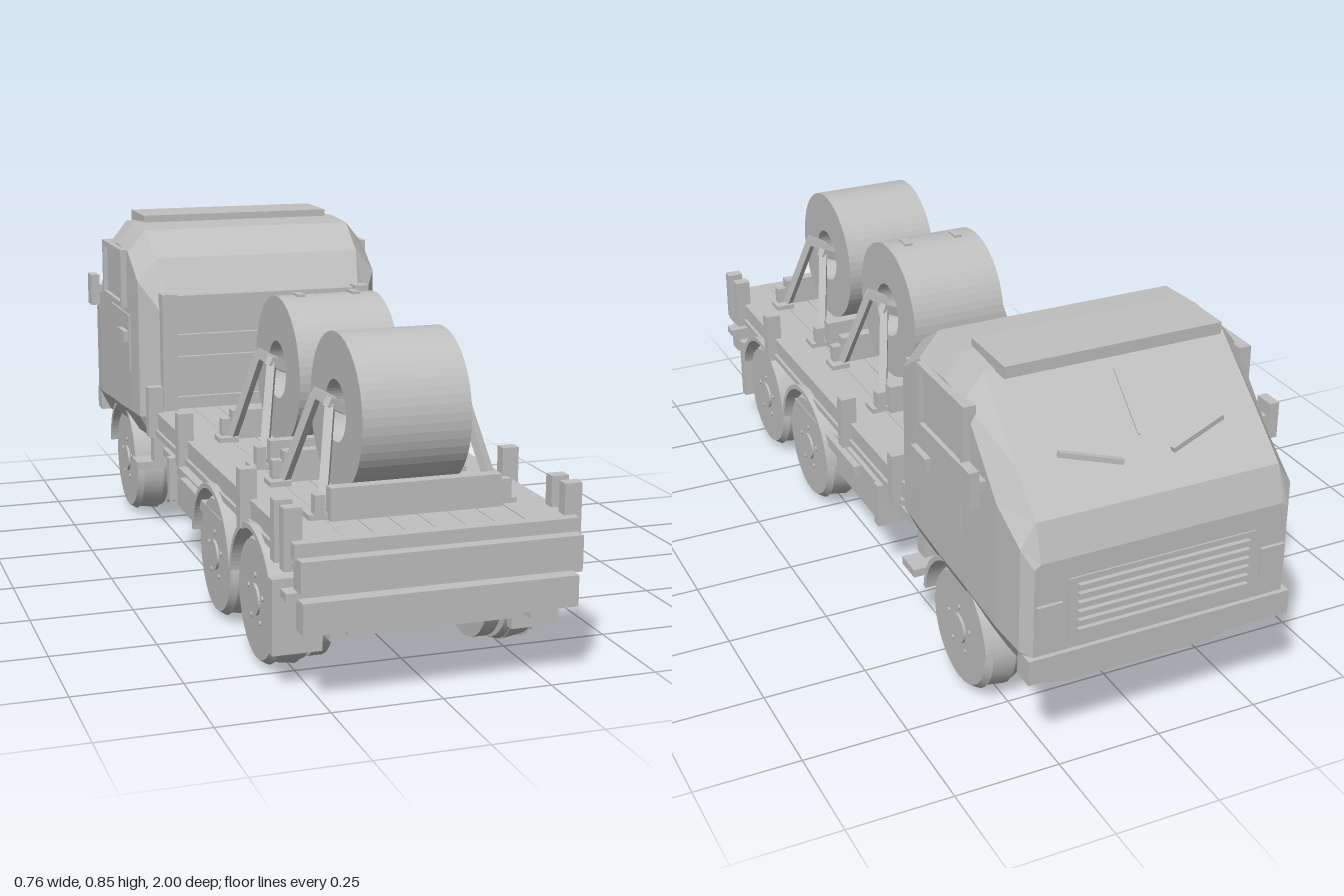
import * as THREE from 'three';

const grey = new THREE.MeshStandardMaterial({ color: 0xc0c0c0 });
grey.name = 'plain grey';

export function createModel() {
  const model = new THREE.Group();
  model.name = 'flatbedTruck';

  const add = (name, geo, parent = model) => {
    const m = new THREE.Mesh(geo, grey);
    m.name = name;
    parent.add(m);
    return m;
  };
  // Box given by its limits
  const box = (name, x0, x1, y0, y1, z0, z1) => {
    const m = add(name, new THREE.BoxGeometry(Math.abs(x1 - x0), Math.abs(y1 - y0), Math.abs(z1 - z0)));
    m.position.set((x0 + x1) / 2, (y0 + y1) / 2, (z0 + z1) / 2);
    return m;
  };
  // Same box on both sides
  const pair = (name, x0, x1, y0, y1, z0, z1) => {
    box(name, x0, x1, y0, y1, z0, z1);
    box(name, -x1, -x0, y0, y1, z0, z1);
  };
  // Square bar between two points
  const bar = (name, a, b, t) => {
    const p = new THREE.Vector3(...a), q = new THREE.Vector3(...b);
    const m = add(name, new THREE.BoxGeometry(t, t, p.distanceTo(q)));
    m.position.copy(p).add(q).multiplyScalar(0.5);
    m.lookAt(q);
    return m;
  };
  // Side outline (shape x = -z) extruded across from x0 to x1
  const sideExtrude = (name, shape, x0, x1, seg = 24) => {
    const g = new THREE.ExtrudeGeometry(shape, { depth: x1 - x0, bevelEnabled: false, curveSegments: seg });
    g.rotateY(Math.PI / 2);
    g.translate(x0, 0, 0);
    return add(name, g);
  };
  const xCylinder = (name, r, x0, x1, y, z, seg = 32, rIn = r) => {
    // r is the radius at x1, rIn at x0
    const g = new THREE.CylinderGeometry(r, rIn, Math.abs(x1 - x0), seg);
    g.rotateZ(x1 > x0 ? -Math.PI / 2 : Math.PI / 2);
    add(name, g).position.set((x0 + x1) / 2, y, z);
  };

  // Cab: cross-sections from back to front [z, bottom, shoulder, top, half width, roof half width]
  const sections = [
    [-0.31, 0.335, 0.63, 0.66, 0.29, 0.27],
    [-0.37, 0.33, 0.70, 0.76, 0.335, 0.285],
    [-0.47, 0.325, 0.765, 0.825, 0.338, 0.29],
    [-0.60, 0.315, 0.775, 0.832, 0.338, 0.29],
    [-0.70, 0.31, 0.765, 0.825, 0.338, 0.29],
    [-0.86, 0.298, 0.60, 0.68, 0.338, 0.295],
    [-0.955, 0.29, 0.54, 0.595, 0.33, 0.295],
    [-0.982, 0.285, 0.50, 0.51, 0.31, 0.295],
  ];
  const rings = sections.map(([z, b, s, t, w, r]) => [
    [w - 0.03, b - 0.06, z], [w, b, z], [w, s, z], [r, t, z],
    [-r, t, z], [-w, s, z], [-w, b, z], [-w + 0.03, b - 0.06, z]]);
  const pos = [];
  const tri = (...pts) => pts.forEach(p => pos.push(...p));
  for (let i = 0; i < rings.length - 1; i++)
    for (let j = 0; j < 8; j++) {
      const k = (j + 1) % 8, R = rings[i], S = rings[i + 1];
      tri(R[j], S[j], S[k]);
      tri(R[j], S[k], R[k]);
    }
  const first = rings[0], last = rings[rings.length - 1];
  for (let j = 1; j < 7; j++) {
    tri(first[0], first[j], first[j + 1]);
    tri(last[0], last[j + 1], last[j]);
  }
  const cabGeo = new THREE.BufferGeometry();
  cabGeo.setAttribute('position', new THREE.Float32BufferAttribute(pos, 3));
  cabGeo.computeVertexNormals();
  add('cab', cabGeo);

  // Roof visor, windscreen seam and wipers
  box('roofVisor', -0.265, 0.265, 0.822, 0.85, -0.745, -0.585);
  bar('windscreenSeam', [0, 0.79, -0.74], [0, 0.685, -0.857], 0.004);
  for (const s of [1, -1])
    bar('wiper', [s * 0.06, 0.655, -0.897], [s * 0.2, 0.69, -0.866], 0.012);

  // Doors, windows, handles, mirrors
  const outline = pts => new THREE.Shape(pts.map(p => new THREE.Vector2(...p)));
  const windowFrame = outline([[0.49, 0.61], [0.49, 0.77], [0.735, 0.77], [0.735, 0.61]]);
  windowFrame.holes.push(outline([[0.505, 0.625], [0.72, 0.625], [0.72, 0.755], [0.505, 0.755]]));
  for (const s of [1, -1]) {
    const side = (name, shape, a, b) => sideExtrude(name, shape, Math.min(s * a, s * b), Math.max(s * a, s * b));
    side('windowFrame', windowFrame, 0.325, 0.355);
    side('windowPane', outline([[0.5, 0.62], [0.725, 0.62], [0.725, 0.76], [0.5, 0.76]]), 0.335, 0.344);
    side('doorPanel', outline([[0.455, 0.44], [0.69, 0.44], [0.69, 0.595], [0.455, 0.595]]), 0.335, 0.343);
  }
  pair('doorHandle', 0.338, 0.357, 0.52, 0.55, -0.54, -0.46);
  pair('mirror', 0.358, 0.382, 0.575, 0.662, -0.82, -0.77);
  pair('mirrorArm', 0.33, 0.365, 0.61, 0.63, -0.81, -0.78);

  // Front face: grille, lamps, bumper
  box('grillePlate', -0.23, 0.23, 0.31, 0.46, -0.986, -0.975);
  for (let i = 0; i < 6; i++)
    box('grilleSlat', -0.21, 0.21, 0.325 + i * 0.022, 0.336 + i * 0.022, -0.997, -0.98);
  pair('headlamp', 0.245, 0.305, 0.34, 0.41, -0.99, -0.97);
  box('frontBumper', -0.325, 0.325, 0.225, 0.285, -0.993, -0.94);

  // Headboard behind the cab
  pair('headboardPost', 0.25, 0.29, 0.36, 0.675, -0.32, -0.278);
  box('headboardPanel', -0.25, 0.25, 0.36, 0.66, -0.315, -0.298);
  for (const y of [0.37, 0.48, 0.54, 0.645])
    box('headboardRail', -0.25, 0.25, y, y + 0.025, -0.31, -0.284);

  // Chassis
  box('chassis', -0.19, 0.19, 0.135, 0.3, -0.9, 0.93);
  pair('frameRail', 0.19, 0.225, 0.17, 0.3, -0.88, 0.93);
  box('frontCrossmember', -0.22, 0.22, 0.14, 0.22, -0.9, -0.85);

  // Deck with lengthwise planks
  box('deckBase', -0.31, 0.31, 0.295, 0.35, -0.31, 0.95);
  pair('deckSideRail', 0.205, 0.312, 0.35, 0.36, -0.31, 0.95);
  for (let i = 0; i < 6; i++)
    box('deckPlank', -0.203 + i * 0.068, -0.137 + i * 0.068, 0.35, 0.359, -0.31, 0.95);
  pair('deckEdge', 0.305, 0.318, 0.3, 0.315, -0.31, 0.95);
  for (const z of [0.93, 0.865, 0.605, 0.045, -0.28])
    pair('stake', 0.295, 0.335, 0.295, 0.43, z - 0.015, z + 0.015);

  // Tail
  box('tailBoard', -0.315, 0.315, 0.26, 0.33, 0.95, 1.0);
  box('tailSill', -0.32, 0.32, 0.325, 0.36, 0.94, 0.97);
  box('rearBumper', -0.31, 0.31, 0.17, 0.24, 0.95, 0.995);
  box('rearBumperRail', -0.335, 0.335, 0.235, 0.253, 0.92, 0.96);
  pair('towBracket', 0.215, 0.24, 0.14, 0.18, 0.92, 0.96);
  pair('mudFlap', 0.22, 0.333, 0.08, 0.25, 0.83, 0.855);

  // Side lockers and steps
  pair('sideLocker', 0.22, 0.3, 0.15, 0.255, -0.1, 0.18);
  pair('lockerEnd', 0.22, 0.315, 0.155, 0.27, -0.15, -0.125);
  pair('sideRail', 0.29, 0.318, 0.222, 0.25, 0.0, 0.43);
  pair('sideRod', 0.225, 0.29, 0.235, 0.255, -0.3, 0.0);
  pair('cabStep', 0.22, 0.345, 0.18, 0.2, -0.44, -0.37);
  pair('stepHanger', 0.22, 0.3, 0.2, 0.27, -0.4, -0.36);

  // Wheels with hubs and bolts, and arched mudguards
  const arch = new THREE.Shape();
  arch.absarc(0, 0, 0.17, 0.1, Math.PI - 0.1, false);
  arch.absarc(0, 0, 0.158, Math.PI - 0.1, 0.1, true);
  for (const z of [0.677, 0.336, -0.63])
    for (const s of [1, -1]) {
      xCylinder('tyre', 0.14, s * 0.245, s * 0.3, 0.148, z, 32, 0.148);
      xCylinder('tyreShoulder', 0.135, s * 0.3, s * 0.316, 0.148, z, 32, 0.146);
      xCylinder('tyreInnerShoulder', 0.146, s * 0.228, s * 0.245, 0.148, z, 32, 0.14);
      xCylinder('innerTyre', 0.138, s * 0.18, s * 0.216, 0.15, z);
      xCylinder('hub', 0.036, s * 0.31, s * 0.322, 0.148, z, 20);
      for (let i = 0; i < 5; i++) {
        const a = Math.PI / 2 + i * Math.PI * 0.4;
        xCylinder('wheelBolt', 0.006, s * 0.31, s * 0.32, 0.148 + 0.056 * Math.sin(a), z + 0.056 * Math.cos(a), 8);
      }
      const guard = sideExtrude('mudguard', arch, s > 0 ? 0.225 : -0.33, s > 0 ? 0.33 : -0.225, 20);
      guard.position.set(0, 0.15, z);
    }
  for (const z of [0.677, 0.336, -0.63]) xCylinder('axle', 0.03, -0.24, 0.24, 0.148, z, 12);

  // Coils on their cradles
  for (const [z, y, r] of [[0.655, 0.556, 0.176], [0.22, 0.563, 0.179]]) {
    const ring = new THREE.Shape().absarc(0, 0, r, 0, Math.PI * 2, false);
    ring.holes.push(new THREE.Path().absarc(0, 0, 0.07, 0, Math.PI * 2, true));
    sideExtrude('coil', ring, -0.125, 0.125, 28).position.set(0, y, z);
    for (const e of [1, -1]) {
      box('cradleBeam', -0.197, 0.197, 0.358, 0.432, z + e * 0.15, z + e * 0.18);
      for (const s of [1, -1]) {
        bar('cradleLeg', [s * 0.155, y + 0.025, z + e * 0.05], [s * 0.2, 0.375, z + e * 0.135], 0.02);
        bar('cradleHook', [s * 0.115, y + 0.01, z + e * 0.04], [s * 0.162, y + 0.035, z + e * 0.052], 0.022);
        const x = s * 0.215;
        box('legFoot', x - 0.025, x + 0.025, 0.355, 0.372, z + e * 0.115, z + e * 0.165);
        box('legLug', x - 0.012, x + 0.012, 0.37, 0.415, z + e * 0.14, z + e * 0.165);
      }
    }
  }
  // Strap clips on the forward coil
  pair('strapClip', 0.06, 0.08, 0.735, 0.747, 0.2, 0.24);

  return model;
}
